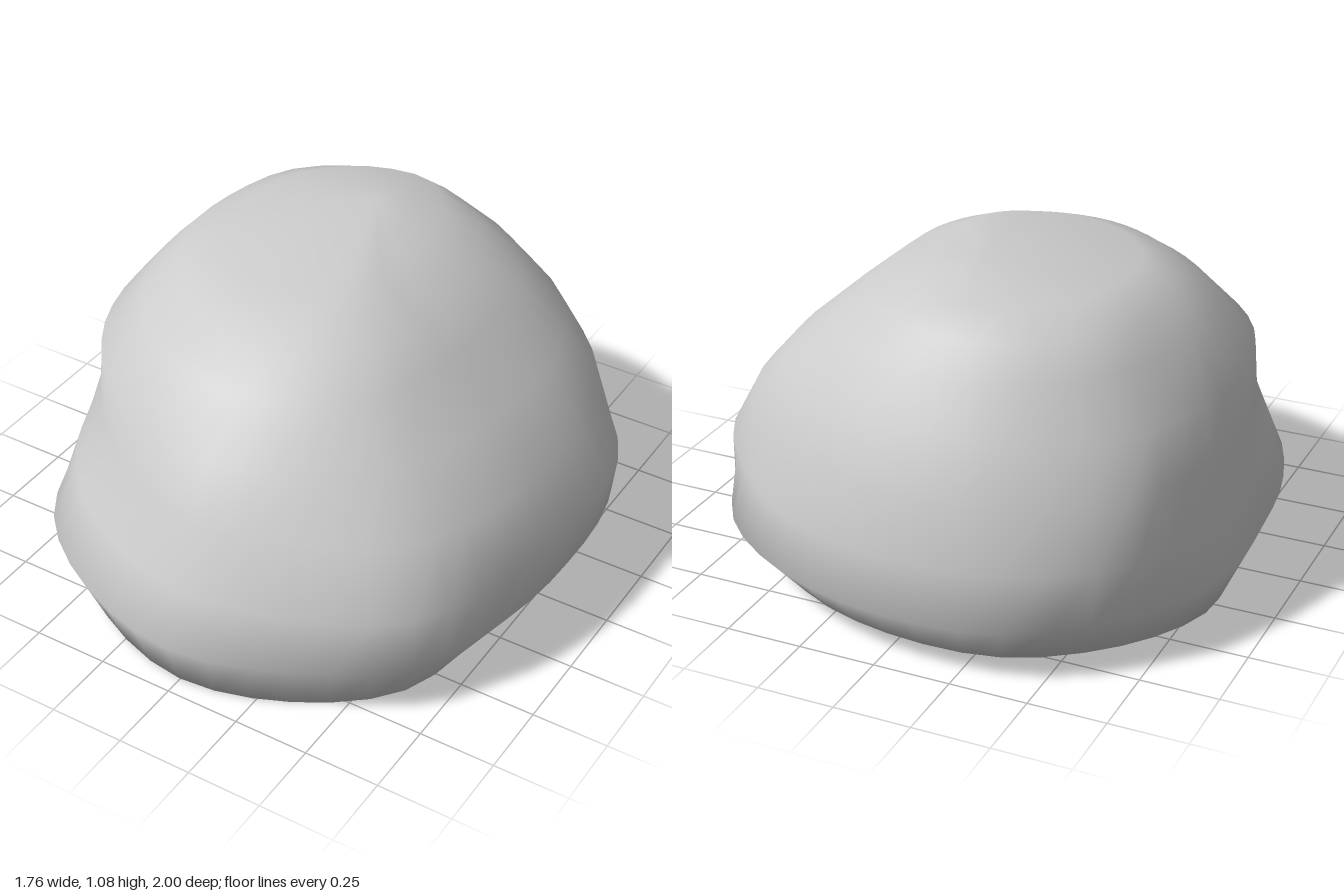
import * as THREE from 'three';

const SEGMENTS = 48;

// Heights of the underside lip, one per compass direction
const LIP_Y = [0.07, 0.04, 0.015, 0.005, 0.01, 0.025, 0.045, 0.035, 0.012, 0.02, 0.04, 0.055, 0.065, 0.07, 0.07, 0.075];

// Rings from bottom to top: height, then radii in 16 directions from +x towards +z
const RINGS = [
  [LIP_Y, [0.73, 0.77, 0.88, 0.91, 0.94, 0.91, 0.87, 0.82, 0.78, 0.87, 0.92, 0.95, 0.91, 0.87, 0.80, 0.76]],
  [0.18, [0.85, 0.88, 0.965, 0.965, 1.0, 0.975, 0.955, 0.89, 0.87, 0.94, 1.0, 1.03, 0.995, 0.965, 0.945, 0.89]],
  [0.36, [0.87, 0.89, 0.95, 0.93, 0.93, 0.89, 0.87, 0.84, 0.83, 0.90, 1.01, 1.01, 0.975, 0.94, 0.90, 0.91]],
  [0.55, [0.77, 0.79, 0.83, 0.82, 0.83, 0.79, 0.77, 0.78, 0.81, 0.87, 0.96, 0.95, 0.92, 0.89, 0.855, 0.81]],
  [0.71, [0.62, 0.63, 0.67, 0.70, 0.74, 0.74, 0.75, 0.77, 0.79, 0.83, 0.88, 0.87, 0.84, 0.81, 0.76, 0.67]],
  [0.86, [0.45, 0.46, 0.50, 0.53, 0.56, 0.59, 0.60, 0.63, 0.67, 0.71, 0.77, 0.77, 0.74, 0.69, 0.59, 0.49]],
  [0.95, [0.34, 0.35, 0.37, 0.39, 0.41, 0.44, 0.47, 0.52, 0.58, 0.63, 0.70, 0.70, 0.66, 0.57, 0.44, 0.37]],
  [1.02, [0.17, 0.18, 0.20, 0.21, 0.22, 0.26, 0.31, 0.37, 0.44, 0.50, 0.56, 0.59, 0.57, 0.41, 0.26, 0.19]],
];
const APEX = new THREE.Vector3(-0.05, 1.08, -0.29);

// Corners of the square opening in the underside, in ring order
const HOLE = [
  new THREE.Vector3(0.57, 0.02, 0.58),
  new THREE.Vector3(-0.48, 0.045, 0.59),
  new THREE.Vector3(-0.5, 0.03, -0.55),
  new THREE.Vector3(0.54, 0.055, -0.56),
];

// Smooth closed outline through the radii of a ring
function outline([y, radii]) {
  const points = radii.map((r, i) => {
    const a = (i * Math.PI) / 8;
    return new THREE.Vector3(Math.cos(a) * r, Array.isArray(y) ? y[i] : y, Math.sin(a) * r);
  });
  const curve = new THREE.CatmullRomCurve3(points, true, 'catmullrom', 0.5);
  return Array.from({ length: SEGMENTS }, (_, i) => curve.getPoint(i / SEGMENTS));
}

// Straight-sided rim of the opening, starting at the middle of its +x side
function holeRim() {
  return Array.from({ length: SEGMENTS }, (_, i) => {
    const u = (i / SEGMENTS) * 4 + 3.5;
    const k = Math.floor(u);
    return HOLE[k % 4].clone().lerp(HOLE[(k + 1) % 4], u - k);
  });
}

// Skin the loops together and close the top at the apex
function skin(loops, apex) {
  const points = loops.flat();
  const index = [];
  for (let k = 0; k < loops.length; k++) {
    for (let i = 0; i < SEGMENTS; i++) {
      const a = k * SEGMENTS + i;
      const b = k * SEGMENTS + ((i + 1) % SEGMENTS);
      if (k === loops.length - 1) index.push(a, points.length, b);
      else index.push(a, a + SEGMENTS, b, b, a + SEGMENTS, b + SEGMENTS);
    }
  }
  const geometry = new THREE.BufferGeometry().setFromPoints([...points, apex]);
  geometry.setIndex(index);
  geometry.computeVertexNormals();
  return geometry;
}

export function createModel() {
  const group = new THREE.Group();
  group.name = 'boulder';

  // Flattish crown: the last ring drawn in towards the apex
  const rings = RINGS.map(outline);
  const crown = rings[rings.length - 1].map((p) => p.clone().lerp(APEX, 0.6).setY(1.04));

  // Hollow stone shell, open underneath
  const material = new THREE.MeshStandardMaterial({ color: 0xcccccc, side: THREE.DoubleSide });
  const shell = new THREE.Mesh(skin([holeRim(), ...rings, crown], APEX), material);
  shell.name = 'stoneShell';
  group.add(shell);

  return group;
}
